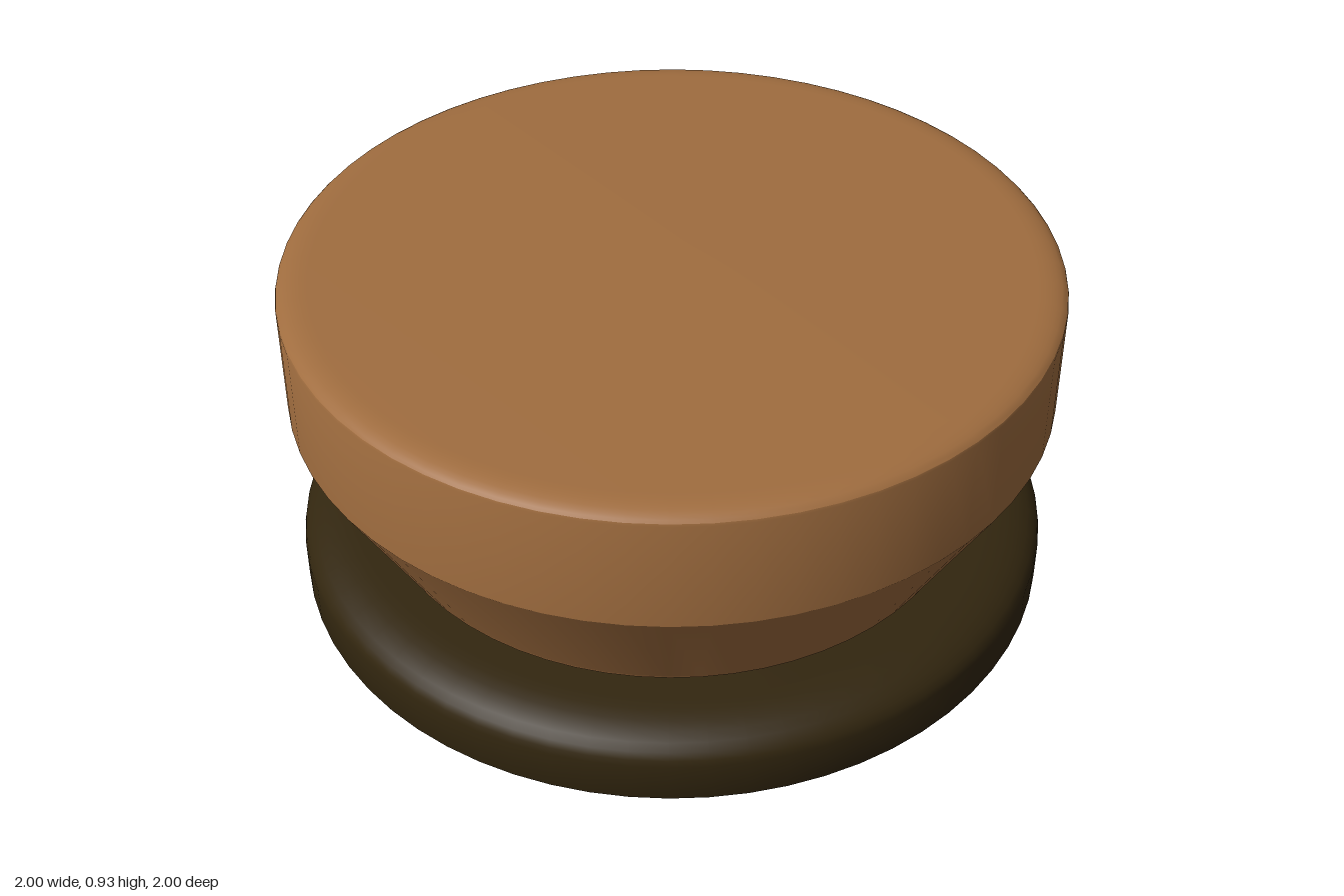
import * as THREE from 'three';
import { toCreasedNormals } from 'three/addons/utils/BufferGeometryUtils.js';

const SIDES = 64;

// Quarter-ellipse edge between the angles a0 and a1 (in quarter turns)
function roundedEdge(cx, cy, rx, ry, a0, a1, steps = 7) {
  return Array.from({ length: steps + 1 }, (_, i) => {
    const a = (a0 + (a1 - a0) * i / steps) * Math.PI / 2;
    return [cx + rx * Math.cos(a), cy + ry * Math.sin(a)];
  });
}

// Closed solid of revolution from a profile that runs bottom to top
function turned(name, profile, material) {
  const points = profile.map(([r, y]) => new THREE.Vector2(r, y));
  const geometry = toCreasedNormals(new THREE.LatheGeometry(points, SIDES), 0.42);
  const mesh = new THREE.Mesh(geometry, material);
  mesh.name = name;
  return mesh;
}

export function createModel() {
  const brown = new THREE.MeshStandardMaterial({ color: 0xa06d3f });
  brown.name = 'warm brown';
  const dark = new THREE.MeshStandardMaterial({ color: 0x32260f });
  dark.name = 'dark brown';

  const model = new THREE.Group();
  model.name = 'turnedKnob';

  // Flat foot disc with a softly rounded rim
  model.add(turned('baseDisc', [
    [0, 0],
    ...roundedEdge(0.91, 0.025, 0.09, 0.025, -1, 0),
    ...roundedEdge(0.85, 0.13, 0.15, 0.08, 0, 1),
    [0, 0.21],
  ], dark));

  // Body: rounded foot, flared cone, upright band and rounded top edge
  model.add(turned('body', [
    [0, 0.208],
    ...roundedEdge(0.71, 0.238, 0.09, 0.03, -1, 0),
    [1, 0.595],
    ...roundedEdge(0.92, 0.895, 0.08, 0.03, 0, 1),
    [0, 0.925],
  ], brown));

  return model;
}
